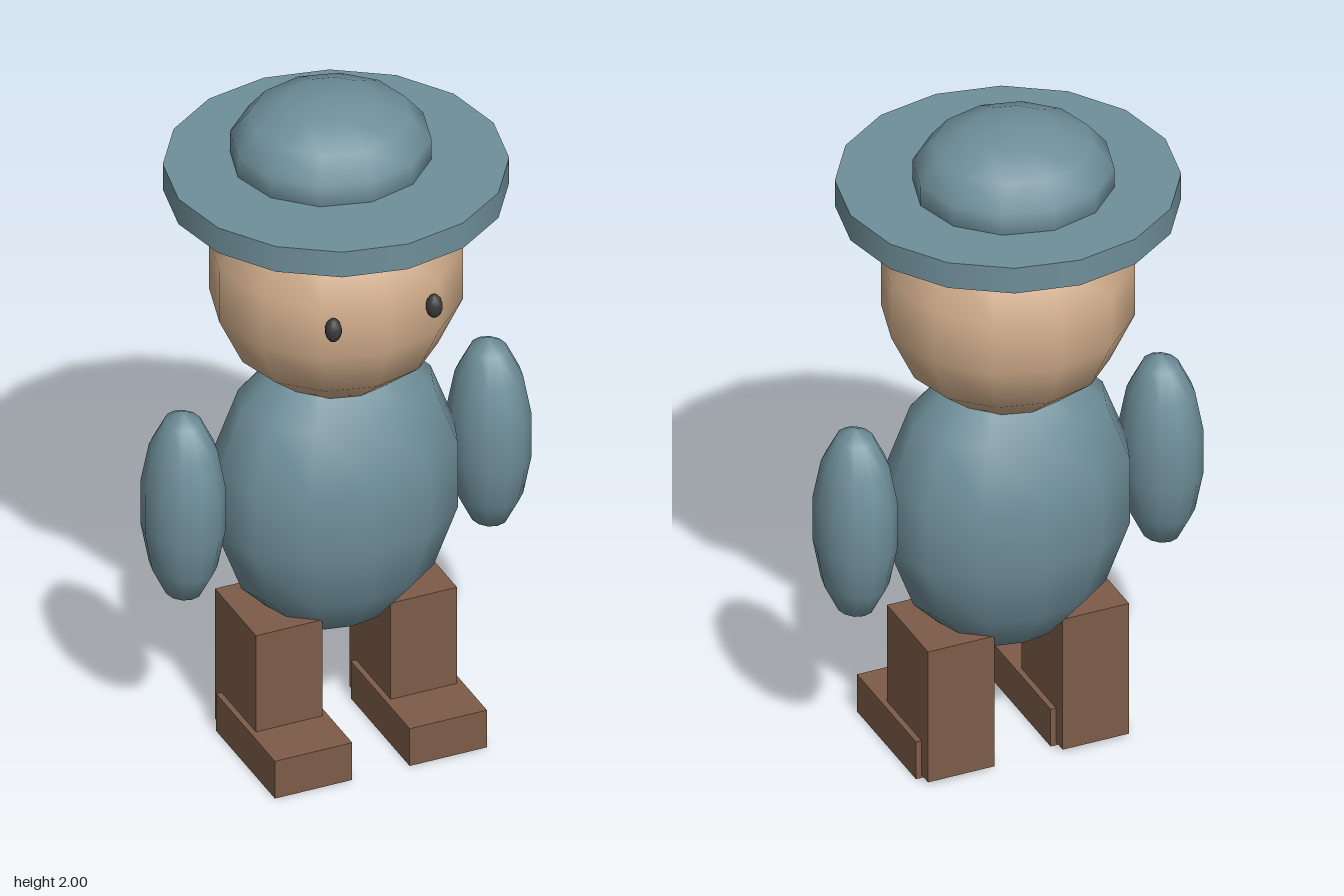
import * as THREE from 'three';

export function createModel() {
  const model = new THREE.Group();
  const paint = (color) => new THREE.MeshStandardMaterial({ color });
  const cloth = paint(0x6f8f9a);
  const skin = paint(0xd2ae8c);
  const brown = paint(0x7d5c48);
  const dark = paint(0x3a3a3a);

  function add(name, geometry, material, x, y, z) {
    const mesh = new THREE.Mesh(geometry, material);
    mesh.name = name;
    mesh.position.set(x, y, z);
    model.add(mesh);
    return mesh;
  }

  // Coarse smooth ellipsoid with the given radii
  function blob(name, material, [rx, ry, rz], [x, y, z]) {
    const geometry = new THREE.SphereGeometry(1, 12, 7).scale(rx, ry, rz);
    return add(name, geometry, material, x, y, z);
  }

  // Body and head
  blob('body', cloth, [0.364, 0.46, 0.269], [0, 0.788, 0]);
  blob('head', skin, [0.361, 0.365, 0.347], [0, 1.46, 0]);

  // Hat
  add('hatBrim', new THREE.CylinderGeometry(0.475, 0.475, 0.081, 16), cloth, 0, 1.767, 0);
  blob('hatCrown', cloth, [0.287, 0.167, 0.277], [0, 1.833, -0.035]);

  // Paired parts, mirrored across x
  for (const [side, s] of [['left', 1], ['right', -1]]) {
    blob(side + 'Eye', dark, [0.024, 0.036, 0.024], [s * 0.152, 1.478, 0.314]);
    blob(side + 'Arm', cloth, [0.117, 0.302, 0.135], [s * 0.461, 0.816, 0]);
    add(side + 'Leg', new THREE.BoxGeometry(0.2, 0.42, 0.27), brown, s * 0.203, 0.22, 0);
    add(side + 'Foot', new THREE.BoxGeometry(0.233, 0.12, 0.387), brown, s * 0.203, 0.06, 0.102);
  }

  return model;
}
